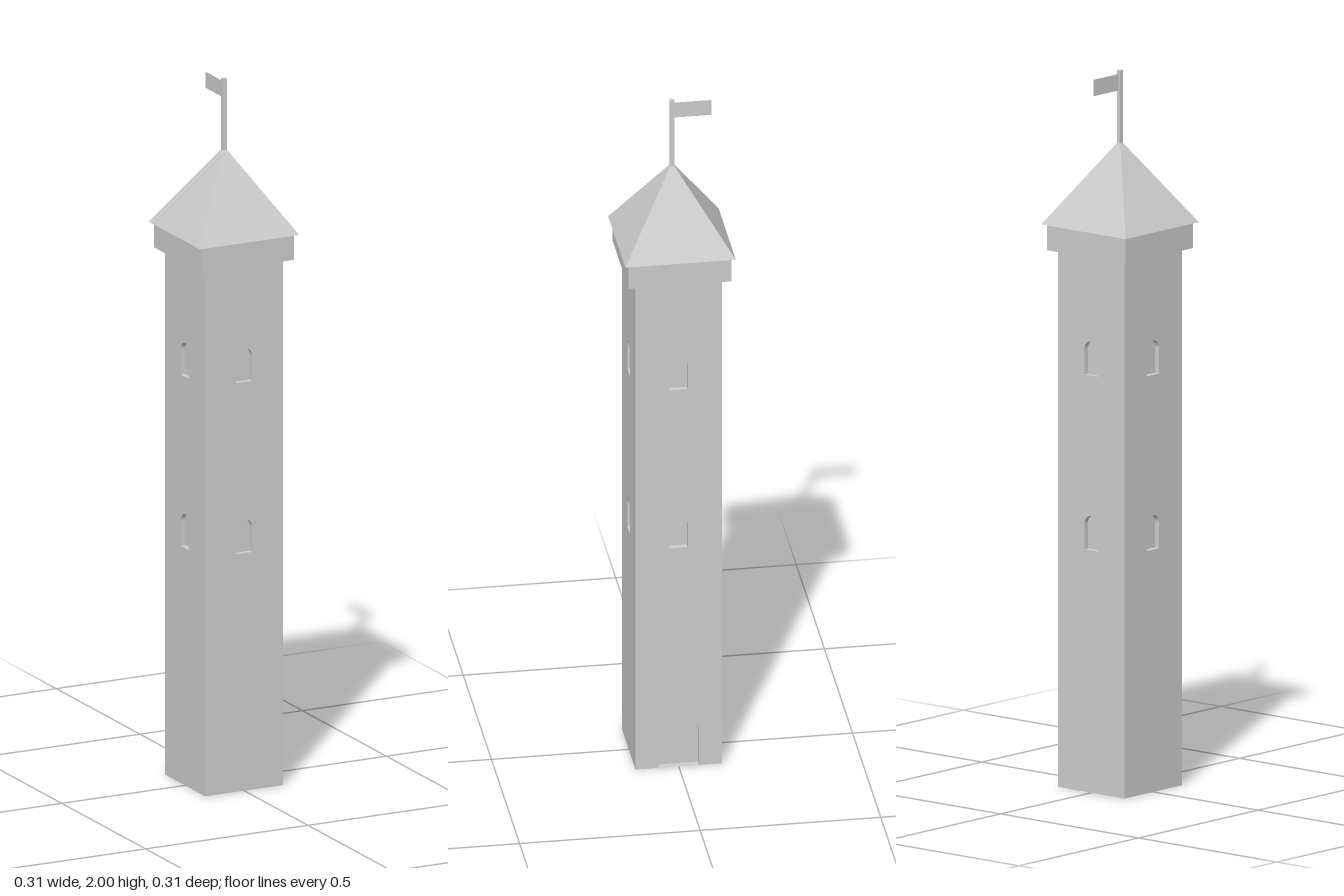
import * as THREE from 'three';

const HALF = 0.12;      // half width of the shaft
const WALL_TOP = 1.5;

// Round-headed opening, listed from bottom right over the arch to bottom left
function archPoints(width, base, height) {
  const r = width / 2, spring = base + height - r, pts = [[r, base]];
  for (let i = 0; i <= 12; i++) {
    const a = (Math.PI * i) / 12;
    pts.push([r * Math.cos(a), spring + r * Math.sin(a)]);
  }
  pts.push([-r, base]);
  return pts.map(([x, y]) => new THREE.Vector2(x, y));
}

// Recess lining: jambs, arch and sill running back from the wall face
function liningGeometry(pts, depth) {
  const pos = [];
  pts.forEach((p, i) => {
    const q = pts[(i + 1) % pts.length];
    pos.push(p.x, p.y, 0, p.x, p.y, -depth, q.x, q.y, -depth);
    pos.push(p.x, p.y, 0, q.x, q.y, -depth, q.x, q.y, 0);
  });
  const g = new THREE.BufferGeometry();
  g.setAttribute('position', new THREE.Float32BufferAttribute(pos, 3));
  g.computeVertexNormals();
  return g;
}

export function createModel() {
  const tower = new THREE.Group();
  tower.name = 'tower';
  const stone = new THREE.MeshStandardMaterial({ color: 0xcccccc, side: THREE.DoubleSide });
  stone.name = 'pale grey stone';

  const add = (parent, name, geometry, x = 0, y = 0, z = 0) => {
    const mesh = new THREE.Mesh(geometry, stone);
    mesh.name = name;
    mesh.position.set(x, y, z);
    parent.add(mesh);
    return mesh;
  };

  // Recessed panel set into a wall
  const addNiche = (parent, name, pts, depth) => {
    const niche = new THREE.Group();
    niche.name = name;
    add(niche, name + 'Panel', new THREE.ShapeGeometry(new THREE.Shape(pts)), 0, 0, -depth);
    add(niche, name + 'Lining', liningGeometry(pts, depth));
    parent.add(niche);
  };

  // Four thin walls, open underneath; the door is in the right-hand one
  ['front', 'right', 'back', 'left'].forEach((side, i) => {
    const wall = new THREE.Group();
    wall.name = side + 'Wall';
    wall.rotation.y = (i * Math.PI) / 2;
    wall.position.set(Math.sin(wall.rotation.y) * HALF, 0, Math.cos(wall.rotation.y) * HALF);

    const door = side === 'right' ? archPoints(0.112, 0, 0.16) : null;
    const outline = [new THREE.Vector2(HALF, 0), new THREE.Vector2(HALF, WALL_TOP),
      new THREE.Vector2(-HALF, WALL_TOP), new THREE.Vector2(-HALF, 0)];
    if (door) outline.push(...[...door].reverse());
    const shape = new THREE.Shape(outline);

    for (const base of [0.677, 1.165]) {
      const pts = archPoints(0.05, base, 0.096);
      shape.holes.push(new THREE.Path(pts));
      addNiche(wall, 'window', pts, 0.015);
    }
    if (door) addNiche(wall, 'door', door, 0.02);
    add(wall, side + 'WallFace', new THREE.ShapeGeometry(shape));
    tower.add(wall);
  });

  // Overhanging top storey
  add(tower, 'parapet', new THREE.BoxGeometry(0.284, 0.074, 0.284), 0, 1.537, 0);

  // Pyramid roof with projecting eaves
  const roof = new THREE.ConeGeometry(0.153 * Math.SQRT2, 0.234, 4, 1).toNonIndexed();
  roof.rotateY(Math.PI / 4);
  roof.computeVertexNormals();
  add(tower, 'roof', roof, 0, 1.572 + 0.117, 0);

  // Square pole and flat flag flying to the back
  add(tower, 'flagpole', new THREE.BoxGeometry(0.012, 0.22, 0.012), 0, 1.89, 0);
  add(tower, 'flag', new THREE.PlaneGeometry(0.11, 0.046), 0, 1.967, -0.055).rotation.y = Math.PI / 2;

  return tower;
}
